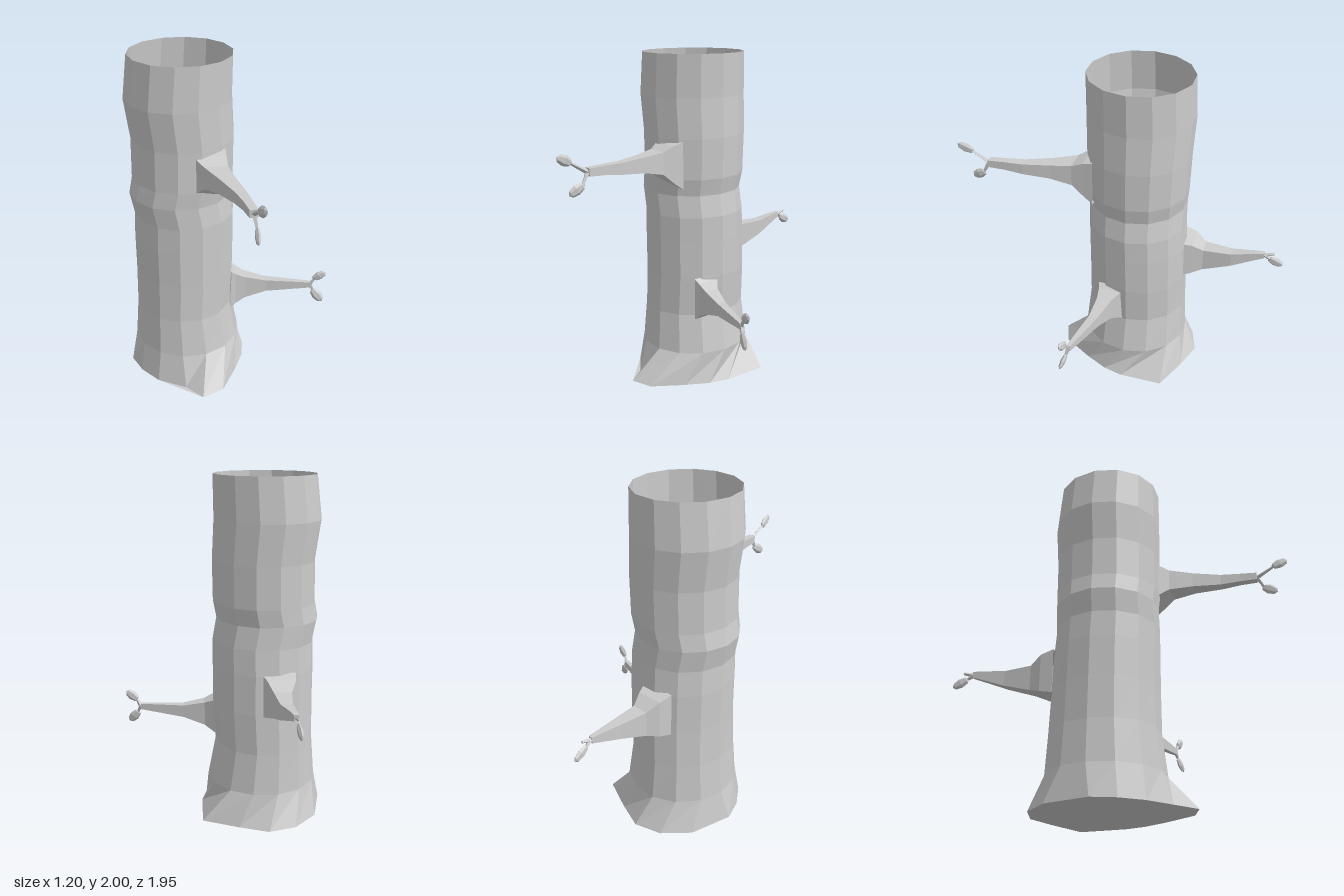
import * as THREE from 'three';

const material = new THREE.MeshStandardMaterial({ color: 0xcccccc, flatShading: true, side: THREE.DoubleSide });

// Skin a list of equal-sized point rings; optionally close the first or last ring
function loft(rings, { capStart = false, capEnd = false } = {}) {
  const n = rings[0].length;
  const index = [];
  for (let i = 0; i < rings.length - 1; i++) {
    for (let k = 0; k < n; k++) {
      const a = i * n + k, b = i * n + (k + 1) % n;
      index.push(a, b, b + n, a, b + n, a + n);
    }
  }
  const last = (rings.length - 1) * n;
  for (let k = 1; k < n - 1; k++) {
    if (capStart) index.push(0, k + 1, k);
    if (capEnd) index.push(last, last + k, last + k + 1);
  }
  const indexed = new THREE.BufferGeometry();
  indexed.setAttribute('position', new THREE.Float32BufferAttribute(rings.flat(2), 3));
  indexed.setIndex(index);
  const geometry = indexed.toNonIndexed();
  geometry.computeVertexNormals();
  return geometry;
}

function addMesh(parent, name, geometry) {
  const mesh = new THREE.Mesh(geometry, material);
  mesh.name = name;
  parent.add(mesh);
  return mesh;
}

// Hollow trunk: 14-sided rings above a flared root outline
function trunkGeometry() {
  const sides = 14;
  const roots = [
    [-0.21, 0.43], [-0.08, 0.38], [0.03, 0.2], [0.1, 0.06], [0.13, -0.06], [0.13, -0.33], [-0.08, -0.42],
    [-0.25, -0.48], [-0.41, -0.43], [-0.54, -0.29], [-0.6, -0.03], [-0.55, 0.1], [-0.46, 0.22], [-0.3, 0.32],
  ].map(([x, z]) => [x, 0, z]);
  // y, min x, max x, front z, back z
  const levels = [
    [0.19, -0.56, 0.09, 0.26, -0.39],
    [0.43, -0.54, 0.045, 0.235, -0.375],
    [0.67, -0.535, 0.06, 0.23, -0.37],
    [0.9, -0.535, 0.062, 0.23, -0.365],
    [1.05, -0.53, 0.062, 0.23, -0.355],
    [1.18, -0.555, 0.04, 0.23, -0.35],
    [1.28, -0.535, 0.06, 0.235, -0.36],
    [1.52, -0.53, 0.065, 0.235, -0.365],
    [1.75, -0.56, 0.055, 0.24, -0.373],
    [2, -0.53, 0.06, 0.235, -0.36],
  ];
  const rings = levels.map(([y, x0, x1, z0, z1]) => {
    const rx = (x1 - x0) / 2, rz = (z0 - z1) / 2 / Math.cos(Math.PI / sides);
    return Array.from({ length: sides }, (_, k) => {
      const a = (2 * k + 1) * Math.PI / sides;
      return [(x0 + x1) / 2 + rx * Math.sin(a), y, (z0 + z1) / 2 + rz * Math.cos(a)];
    });
  });
  return loft([roots, ...rings], { capStart: true });
}

// Four-sided branch; each section is x, y, z, half width, half height
function branchGeometry([dx, dz], sections) {
  const corners = [[1, 1], [-1, 1], [-1, -1], [1, -1]];
  return loft(sections.map(([x, y, z, w, h]) =>
    corners.map(([s, t]) => [x + dz * s * w, y + t * h, z - dx * s * w])), { capEnd: true });
}

// Thin tapered twig between two points
function addTwig(parent, from, to) {
  const a = new THREE.Vector3(...from), b = new THREE.Vector3(...to);
  const twig = addMesh(parent, 'twig', new THREE.CylinderGeometry(0.008, 0.014, a.distanceTo(b), 4));
  twig.position.copy(a).lerp(b, 0.5);
  twig.quaternion.setFromUnitVectors(new THREE.Vector3(0, 1, 0), b.sub(a).normalize());
}

// Flattened bud whose thin direction lies across the branch
function addBud(parent, from, to, [dx, dz]) {
  const a = new THREE.Vector3(...from), b = new THREE.Vector3(...to);
  const along = b.clone().sub(a).normalize();
  const wide = along.clone().cross(new THREE.Vector3(dz, 0, -dx)).normalize();
  const thin = wide.clone().cross(along);
  const geometry = new THREE.SphereGeometry(1, 6, 4);
  geometry.scale(0.031, a.distanceTo(b) / 2, 0.015);
  const bud = addMesh(parent, 'bud', geometry);
  bud.quaternion.setFromRotationMatrix(new THREE.Matrix4().makeBasis(wide, along, thin));
  bud.position.copy(a).lerp(b, 0.5);
}

const branches = [
  {
    name: 'frontBranch', dir: [0, 1],
    sections: [
      [-0.13, 1.365, 0.16, 0.105, 0.14], [-0.12, 1.38, 0.22, 0.09, 0.11], [-0.1, 1.395, 0.29, 0.065, 0.065],
      [-0.065, 1.405, 0.42, 0.045, 0.045], [-0.025, 1.41, 0.58, 0.03, 0.033],
      [-0.01, 1.418, 0.69, 0.024, 0.026], [0, 1.42, 0.79, 0.022, 0.022],
    ],
    buds: [[[0, 1.475, 0.88], [0.02, 1.525, 0.975]], [[0.01, 1.36, 0.815], [0, 1.305, 0.905]]],
  },
  {
    name: 'leftBranch', dir: [1, 0],
    sections: [
      [0.02, 0.545, 0.03, 0.085, 0.13], [0.05, 0.545, 0.035, 0.07, 0.105], [0.11, 0.545, 0.055, 0.045, 0.073],
      [0.24, 0.547, 0.08, 0.028, 0.038], [0.51, 0.552, 0.147, 0.012, 0.018],
    ],
    buds: [[[0.525, 0.59, 0.155], [0.6, 0.645, 0.17]], [[0.52, 0.52, 0.155], [0.585, 0.44, 0.18]]],
  },
  {
    name: 'backBranch', dir: [0, -1],
    sections: [
      [-0.3, 0.785, -0.33, 0.1, 0.13], [-0.31, 0.785, -0.41, 0.08, 0.11], [-0.31, 0.775, -0.48, 0.05, 0.075],
      [-0.31, 0.8, -0.65, 0.033, 0.045], [-0.33, 0.835, -0.8, 0.018, 0.025], [-0.335, 0.845, -0.85, 0.013, 0.017],
    ],
    buds: [[[-0.34, 0.825, -0.875], [-0.35, 0.775, -0.97]]],
    bareTwig: [-0.34, 0.862, -0.91],
  },
];

export function createModel() {
  const model = new THREE.Group();
  model.name = 'treeTrunk';
  addMesh(model, 'trunk', trunkGeometry());

  for (const { name, dir, sections, buds, bareTwig } of branches) {
    const group = new THREE.Group();
    group.name = name;
    model.add(group);
    addMesh(group, 'limb', branchGeometry(dir, sections));
    const tip = sections[sections.length - 1].slice(0, 3);
    for (const [from, to] of buds) {
      addTwig(group, tip, from.map((v, i) => v + (to[i] - v) * 0.15));
      addBud(group, from, to, dir);
    }
    if (bareTwig) addTwig(group, tip, bareTwig);
  }
  return model;
}
